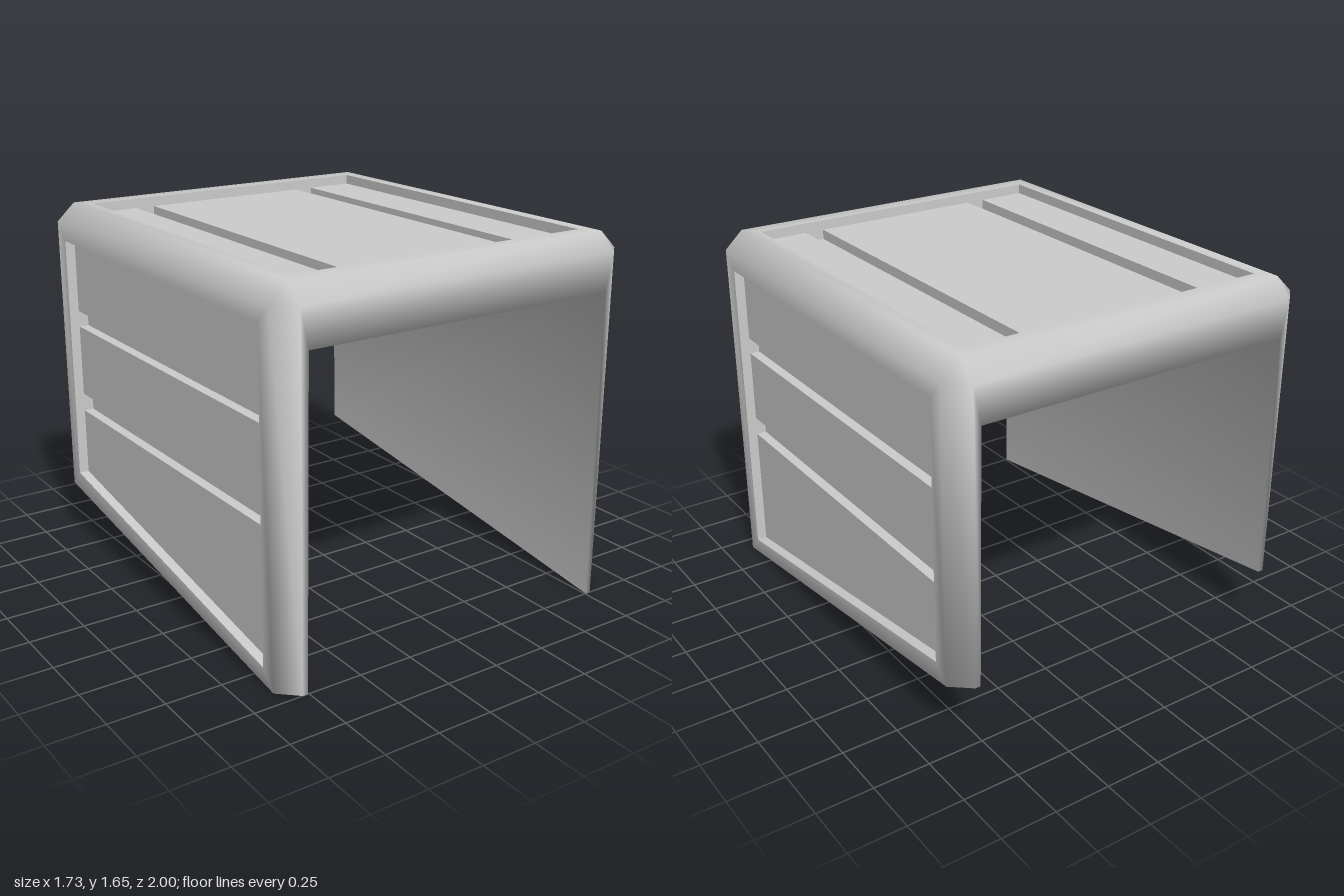
import * as THREE from 'three';

const material = new THREE.MeshStandardMaterial({ color: 0xcccccc, side: THREE.DoubleSide });
const SIDES = [-1, 1];
const bottomY = (t) => (t > 0 ? 0 : 0.27);

// Corner points of the frame; s picks the x side, t the z side.
const points = {
  sideTop: (s, t) => [0.865 * s, 1.57, 0.92 * t],
  sideBottom: (s, t) => [0.865 * s, t > 0 ? 0 : 0.265, 0.92 * t],
  top: (s, t) => [0.78 * s, 1.65, 0.92 * t],
  endTop: (s, t) => [0.78 * s, 1.57, t],
  endBottom: (s, t) => [0.78 * s, bottomY(t), t],
  sideHoleTop: (s, t) => [0.865 * s, 1.49, 0.845 * t],
  sideHoleBottom: (s, t) => [0.865 * s, t > 0 ? 0.08 : 0.34, 0.845 * t],
  topHole: (s, t) => [0.72 * s, 1.65, 0.845 * t],
  innerTop: (s, t) => [0.745 * s, 1.405, t],
  innerBottom: (s, t) => [0.755 * s, bottomY(t), t],
};

// Collects polygons that share corners, each turned to face the given direction.
function shell() {
  const position = [], index = [], known = new Map();
  const vertex = (p) => {
    const key = p.map((v) => v.toFixed(4)).join();
    if (!known.has(key)) {
      known.set(key, position.length / 3);
      position.push(...p);
    }
    return known.get(key);
  };
  return {
    face(corners, out) {
      const [a, b, c] = corners.map((p) => new THREE.Vector3(...p));
      const normal = b.clone().sub(a).cross(c.clone().sub(a));
      const list = normal.dot(new THREE.Vector3(...out)) < 0 ? [...corners].reverse() : corners;
      const ids = list.map(vertex);
      for (let i = 1; i < ids.length - 1; i++) index.push(ids[0], ids[i], ids[i + 1]);
    },
    build() {
      const g = new THREE.BufferGeometry();
      g.setAttribute('position', new THREE.Float32BufferAttribute(position, 3));
      g.setIndex(index);
      g.computeVertexNormals();
      return g;
    },
  };
}

// Smooth bevelled arch: outer rails, end faces and inside walls.
function frameGeometry() {
  const m = shell(), p = points;
  for (const s of SIDES) {
    // side rails around the side opening
    m.face([p.sideTop(s, 1), p.sideTop(s, -1), p.sideHoleTop(s, -1), p.sideHoleTop(s, 1)], [s, 0, 0]);
    m.face([p.sideBottom(s, 1), p.sideBottom(s, -1), p.sideHoleBottom(s, -1), p.sideHoleBottom(s, 1)], [s, 0, 0]);
    // long top bevel, top rail, inside wall and underside
    m.face([p.sideTop(s, 1), p.sideTop(s, -1), p.top(s, -1), p.top(s, 1)], [s, 1, 0]);
    m.face([p.top(s, 1), p.top(s, -1), p.topHole(s, -1), p.topHole(s, 1)], [0, 1, 0]);
    m.face([p.innerTop(s, 1), p.innerTop(s, -1), p.innerBottom(s, -1), p.innerBottom(s, 1)], [-s, 0, 0]);
    m.face([p.sideBottom(s, 1), p.sideBottom(s, -1), p.endBottom(s, -1),
      p.innerBottom(s, -1), p.innerBottom(s, 1), p.endBottom(s, 1)], [0, -1, 0]);
    for (const t of SIDES) {
      // posts, upright bevels and cut corners
      m.face([p.sideTop(s, t), p.sideBottom(s, t), p.sideHoleBottom(s, t), p.sideHoleTop(s, t)], [s, 0, 0]);
      m.face([p.sideTop(s, t), p.sideBottom(s, t), p.endBottom(s, t), p.endTop(s, t)], [s, 0, t]);
      m.face([p.sideTop(s, t), p.top(s, t), p.endTop(s, t)], [s, 1, t]);
      m.face([p.endTop(s, t), p.endBottom(s, t), p.innerBottom(s, t), p.innerTop(s, t)], [0, 0, t]);
    }
  }
  for (const t of SIDES) {
    // cross rails
    m.face([p.top(-1, t), p.top(1, t), p.topHole(1, t), p.topHole(-1, t)], [0, 1, 0]);
    m.face([p.top(-1, t), p.top(1, t), p.endTop(1, t), p.endTop(-1, t)], [0, 1, t]);
    m.face([p.endTop(-1, t), p.endTop(1, t), p.innerTop(1, t), p.innerTop(-1, t)], [0, 0, t]);
  }
  // ceiling
  m.face([p.innerTop(-1, 1), p.innerTop(1, 1), p.innerTop(1, -1), p.innerTop(-1, -1)], [0, -1, 0]);
  return m.build();
}

// Thin walls dropping from the rim of an opening by the offset.
function recessGeometry(rim, offset) {
  const center = [0, 1, 2].map((k) => rim.reduce((sum, p) => sum + p[k] / rim.length, 0));
  const m = shell();
  rim.forEach((a, i) => {
    const b = rim[(i + 1) % rim.length];
    const low = (p) => p.map((v, k) => v + offset[k]);
    m.face([a, b, low(b), low(a)], center.map((v, k) => v - (a[k] + b[k]) / 2));
  });
  return m.build().toNonIndexed();
}

function slab(corners, depth) {
  const shape = new THREE.Shape(corners.map(([u, v]) => new THREE.Vector2(u, v)));
  return new THREE.ExtrudeGeometry(shape, { depth, bevelEnabled: false });
}

export function createModel() {
  const model = new THREE.Group();
  const add = (name, geometry, parent = model) => {
    if (!geometry.index) geometry.computeVertexNormals();
    const mesh = new THREE.Mesh(geometry, material);
    mesh.name = name;
    parent.add(mesh);
    return mesh;
  };
  add('frame', frameGeometry());

  // Side panels: three boards over a groove floor, the lowest with a slanted edge
  const z = 0.845;
  const boards = [[1.15, 1.15, 1.49], [0.74, 0.74, 1.075], [0.08, 0.34, 0.655]];
  for (const s of SIDES) {
    const panel = new THREE.Group();
    panel.name = s > 0 ? 'leftPanel' : 'rightPanel';
    model.add(panel);
    const place = (name, [front, back, top], outer) => {
      const depth = outer - 0.757;
      const mesh = add(name, slab([[-z, front], [z, back], [z, top], [-z, top]], depth), panel);
      mesh.rotation.y = Math.PI / 2;
      mesh.position.x = s > 0 ? 0.757 : -outer;
    };
    place('grooveFloor', [0.08, 0.34, 1.49], 0.775);
    boards.forEach((b) => place('sideBoard', b, 0.82));
    const p = points;
    add('sideRecess', recessGeometry([p.sideHoleTop(s, 1), p.sideHoleTop(s, -1),
      p.sideHoleBottom(s, -1), p.sideHoleBottom(s, 1)], [-0.09 * s, 0, 0]), panel);
  }

  // Top panel: three boards with two grooves between them
  const topPanel = new THREE.Group();
  topPanel.name = 'topPanel';
  model.add(topPanel);
  const placeTop = (name, x0, x1, height) => {
    const mesh = add(name, slab([[x0, -z], [x1, -z], [x1, z], [x0, z]], height - 1.5), topPanel);
    mesh.rotation.x = -Math.PI / 2;
    mesh.position.y = 1.5;
  };
  placeTop('grooveFloor', -0.72, 0.72, 1.56);
  for (const [x0, x1] of [[-0.72, -0.495], [-0.405, 0.405], [0.495, 0.72]]) placeTop('topBoard', x0, x1, 1.605);
  const h = points.topHole;
  add('topRecess', recessGeometry([h(-1, 1), h(1, 1), h(1, -1), h(-1, -1)], [0, -0.09, 0]), topPanel);
  return model;
}
